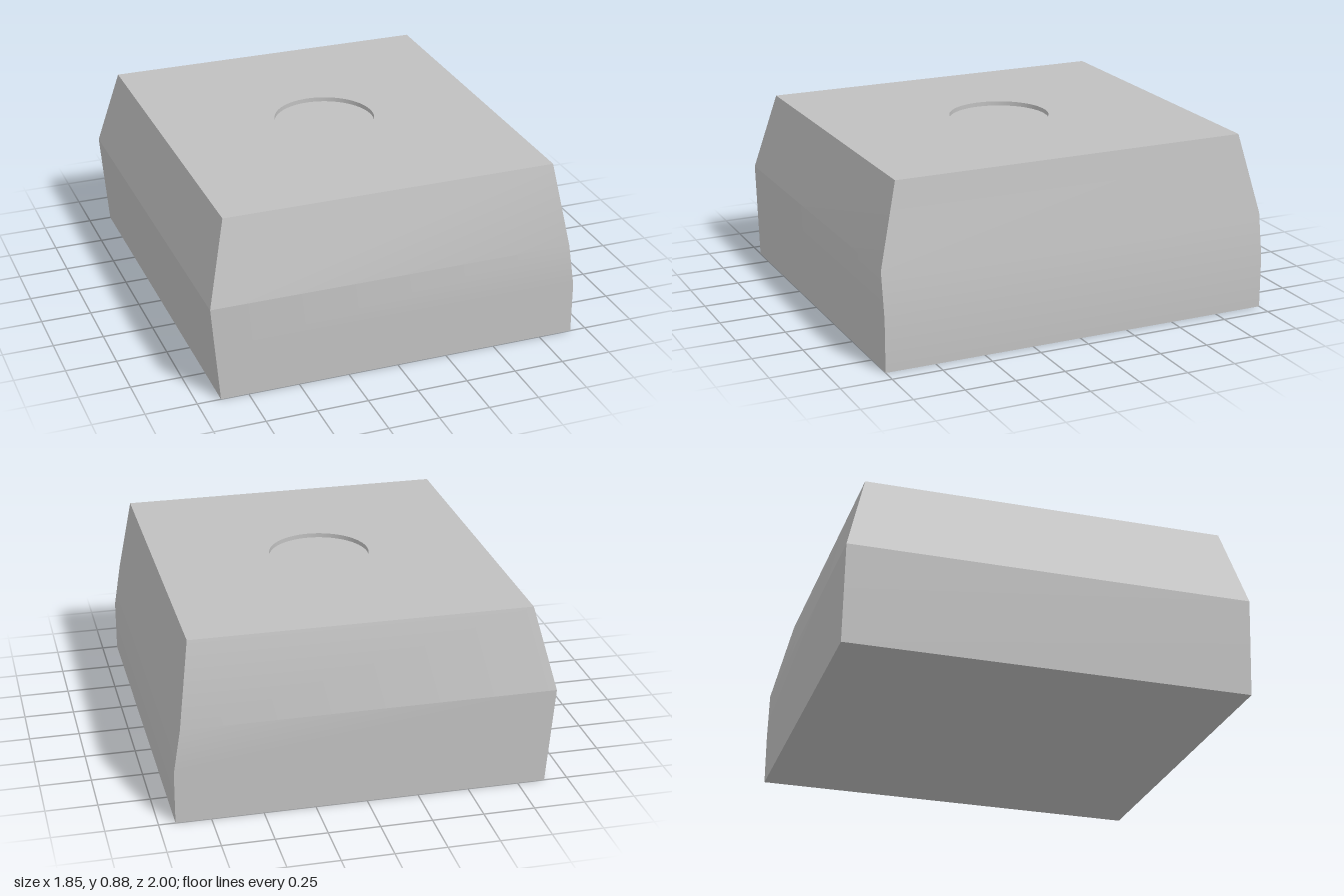
import * as THREE from 'three';

// Horizontal sections of the body: height, x on each side, half depth
const sections = [
  { y: 0, x0: -0.885, x1: 0.92, z: 1 },
  { y: 0.26, x0: -0.907, x1: 0.92, z: 1 },
  { y: 0.48, x0: -0.925, x1: 0.885, z: 1 },
  { y: 0.88, x0: -0.825, x1: 0.825, z: 0.9 },
];
const recessRadius = 0.25;
const recessDepth = 0.022;

// Section corners, anticlockwise seen from above, starting at front -x
const rings = sections.map(({ y, x0, x1, z }) => [
  new THREE.Vector3(x0, y, z),
  new THREE.Vector3(x1, y, z),
  new THREE.Vector3(x1, y, -z),
  new THREE.Vector3(x0, y, -z),
]);

// One wall joining two neighbouring corners of every section.
// Its bends are soft at the +x corners and crisp at the -x corners.
function wallGeometry(a) {
  const b = (a + 1) % 4;
  const bands = rings.length - 1;
  const normals = [];
  for (let i = 0; i < bands; i++) {
    const along = rings[i][b].clone().sub(rings[i][a]);
    const up = rings[i + 1][a].clone().sub(rings[i][a]);
    normals.push(along.cross(up).normalize());
  }
  const position = [];
  const normal = [];
  const add = (band, level, corner) => {
    const n = normals[band].clone();
    const soft = corner === 1 || corner === 2;
    if (soft && level > 0 && level < bands) {
      n.copy(normals[level - 1]).add(normals[level]).normalize();
    }
    position.push(...rings[level][corner].toArray());
    normal.push(...n.toArray());
  };
  for (let i = 0; i < bands; i++) {
    add(i, i, a); add(i, i, b); add(i, i + 1, b);
    add(i, i, a); add(i, i + 1, b); add(i, i + 1, a);
  }
  const geometry = new THREE.BufferGeometry();
  geometry.setAttribute('position', new THREE.Float32BufferAttribute(position, 3));
  geometry.setAttribute('normal', new THREE.Float32BufferAttribute(normal, 3));
  return geometry;
}

// Flat rectangle outline of a section, drawn in x and y
function outline({ x0, x1, z }) {
  return new THREE.Shape([
    new THREE.Vector2(x0, -z),
    new THREE.Vector2(x1, -z),
    new THREE.Vector2(x1, z),
    new THREE.Vector2(x0, z),
  ]);
}

export function createModel() {
  const model = new THREE.Group();
  model.name = 'taperedBlock';

  const grey = new THREE.MeshStandardMaterial({ color: 0xc0c0c0 });
  grey.name = 'light grey';

  const add = (name, geometry) => {
    const mesh = new THREE.Mesh(geometry, grey);
    mesh.name = name;
    model.add(mesh);
  };

  // Four bent side walls
  ['frontWall', 'leftWall', 'backWall', 'rightWall'].forEach((name, i) => add(name, wallGeometry(i)));

  // Top face with a round opening
  const top = sections[sections.length - 1];
  const topShape = outline(top);
  topShape.holes.push(new THREE.Path().absarc(0, 0, recessRadius, 0, Math.PI * 2, true));
  add('topFace', new THREE.ShapeGeometry(topShape, 48).rotateX(-Math.PI / 2).translate(0, top.y, 0));

  // Shallow round recess: inward facing rim and floor
  const rim = new THREE.LatheGeometry(
    [new THREE.Vector2(recessRadius, top.y), new THREE.Vector2(recessRadius, top.y - recessDepth)],
    96,
  );
  add('recessRim', rim);
  add('recessFloor', new THREE.CircleGeometry(recessRadius, 96)
    .rotateX(-Math.PI / 2).translate(0, top.y - recessDepth, 0));

  // Flat underside
  add('underside', new THREE.ShapeGeometry(outline(sections[0])).rotateX(Math.PI / 2));

  return model;
}
